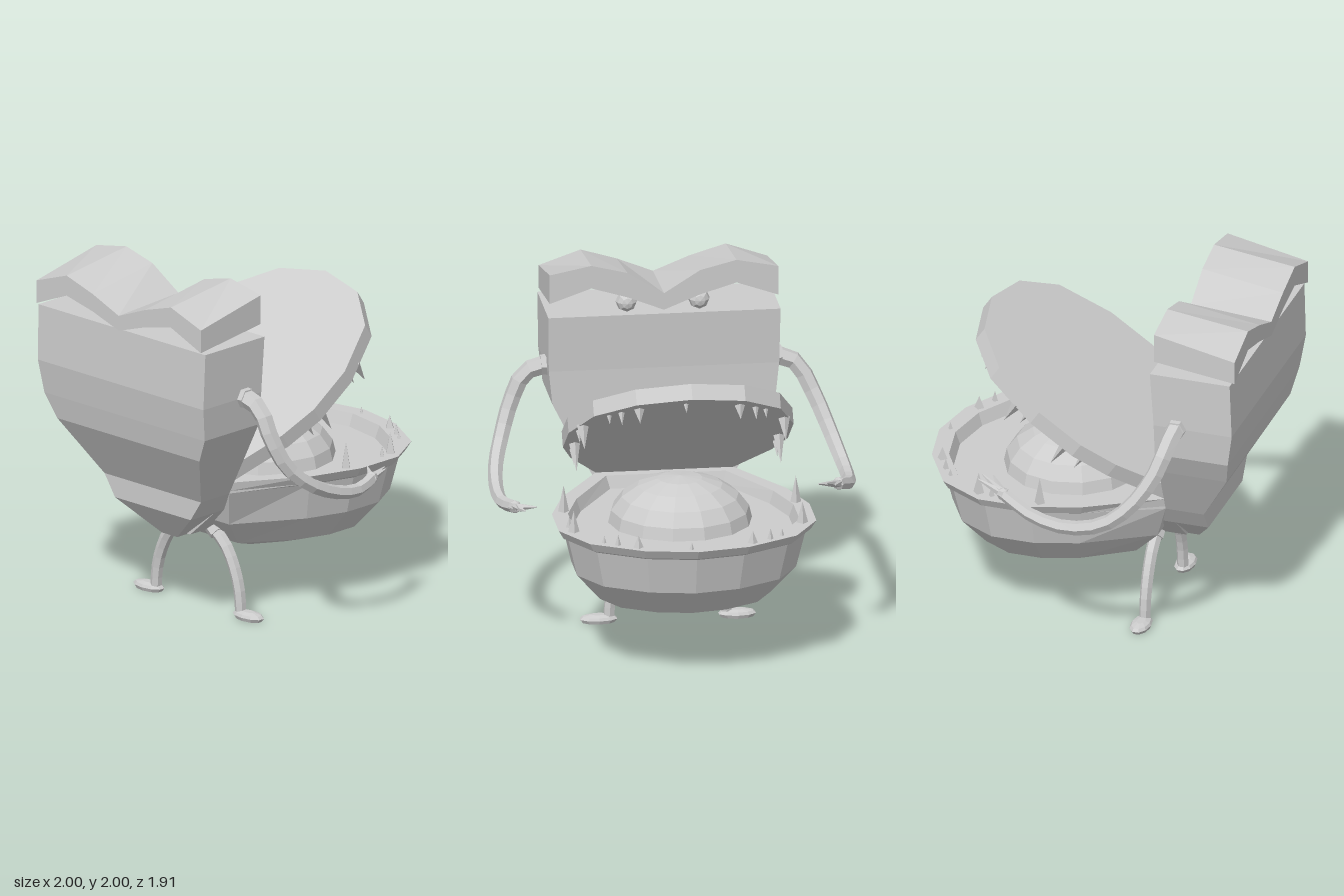
import * as THREE from 'three';

const grey = new THREE.MeshStandardMaterial({ color: 0xcccccc, flatShading: true });
grey.name = 'grey';
const V = (p) => new THREE.Vector3(...p);

function add(parent, geometry, name) {
  const mesh = new THREE.Mesh(geometry, grey);
  mesh.name = name;
  parent.add(mesh);
  return mesh;
}

// Skin closed rings of [x, y, z] points and cap both ends
function loft(rings) {
  const n = rings[0].length, last = (rings.length - 1) * n, index = [];
  for (let i = 0; i < rings.length - 1; i++) {
    for (let j = 0; j < n; j++) {
      const a = i * n + j, b = i * n + (j + 1) % n;
      index.push(a, b, b + n, a, b + n, a + n);
    }
  }
  for (let j = 1; j < n - 1; j++) {
    index.push(0, j + 1, j, last, last + j, last + j + 1);
  }
  const g = new THREE.BufferGeometry();
  g.setAttribute('position', new THREE.Float32BufferAttribute(rings.flat(2), 3));
  g.setIndex(index);
  g.computeVertexNormals();
  return g;
}

// Mirror a back-to-front half outline of [x, z] into a full ring at height y
function mirrorRing(half, y) {
  const right = [...half].reverse().map(([x, z]) => [x, y, z]);
  const left = half.slice(1).map(([x, z]) => [-x, y, z]);
  return [...right, ...left];
}

// Tube whose radius changes evenly from r0 to r1
function limb(points, r0, r1, sides = 6, steps = 10) {
  const curve = new THREE.CatmullRomCurve3(points.map(V));
  const g = new THREE.TubeGeometry(curve, steps, 1, sides);
  const p = g.attributes.position, v = new THREE.Vector3();
  for (let i = 0; i < p.count; i++) {
    const t = Math.floor(i / (sides + 1)) / steps, c = curve.getPointAt(t);
    v.fromBufferAttribute(p, i).sub(c).multiplyScalar(r0 + (r1 - r0) * t).add(c);
    p.setXYZ(i, v.x, v.y, v.z);
  }
  g.computeVertexNormals();
  return g;
}

// Cone or stub running from one point to another
function spike(parent, from, to, r0, r1, sides, name) {
  const a = V(from), b = V(to), dir = b.clone().sub(a);
  const mesh = add(parent, new THREE.CylinderGeometry(r1, r0, dir.length(), sides), name);
  mesh.position.copy(a).add(b).multiplyScalar(0.5);
  mesh.quaternion.setFromUnitVectors(new THREE.Vector3(0, 1, 0), dir.normalize());
}

// Tooth layout: x, z, height, radius
const TEETH = [
  [0.64, -0.165, 0.16, 0.032], [0.645, -0.44, 0.07, 0.02], [0.63, -0.52, 0.13, 0.034],
  [0.49, -0.73, 0.05, 0.016], [0.42, -0.78, 0.07, 0.02], [0.315, -0.835, 0.08, 0.032],
];

export function createModel() {
  const model = new THREE.Group();
  model.name = 'toiletMonster';

  // Tank: tapering rectangular sections [y, half width, front z, back z]
  const tank = [
    [0.45, 0.06, 0.56, 0.36], [0.63, 0.29, 0.69, 0.42], [0.75, 0.37, 0.69, 0.47],
    [1.07, 0.545, 0.88, 0.49], [1.21, 0.615, 0.91, 0.49], [1.4, 0.635, 0.94, 0.49],
    [1.715, 0.64, 0.93, 0.47],
  ].map(([y, w, f, b]) => [[-w, y, f], [w, y, f], [w, y, b], [-w, y, b]]);
  add(model, loft(tank), 'tank');

  // Tank cover bent into a brow: [x, bottom back, top back, top front, bottom front]
  const brow = [
    [0.63, 1.79, 1.955, 1.86, 1.73], [0.4, 1.87, 2.0, 1.94, 1.825],
    [0.2, 1.81, 1.95, 1.88, 1.78], [0, 1.73, 1.825, 1.8, 1.715],
  ];
  const section = (s, [x, bb, tb, tf, bf]) =>
    [[s * x, bb, 0.49], [s * x, tb, 0.49], [s * x, tf, 0.955], [s * x, bf, 0.955]];
  add(model, loft([
    ...brow.map((b) => section(-1, b)),
    ...brow.slice(0, 3).reverse().map((b) => section(1, b)),
  ]), 'browCover');

  // Bowl with rim and inner floor: [scale, y, front half width, front z]
  const outline = [[0, -0.75], [0.29, -0.695], [0.57, -0.535], [0.71, -0.29], [0.71, 0], [0.62, 0.28]];
  const bowl = [
    [0.02, 0.285, 0.005, -0.2], [0.35, 0.305, 0.12, 0.05], [0.66, 0.38, 0.22, 0.25],
    [0.85, 0.54, 0.3, 0.4], [0.92, 0.75, 0.37, 0.47], [0.96, 0.765, 0.37, 0.47],
    [1, 0.815, 0.38, 0.47], [0.875, 0.815, 0.33, 0.41], [0.84, 0.745, 0.31, 0.39],
  ].map(([s, y, w, z]) => mirrorRing(
    [...outline.map(([x, d]) => [x * s, d * s - 0.21]), [w, z]], y));
  add(model, loft(bowl), 'bowl');

  // Neck between tank and bowl
  const neck = [[0.46, 0.1, 0.5, 0.25], [0.63, 0.29, 0.5, 0.25], [0.75, 0.37, 0.5, 0.4]]
    .map(([y, w, f, b]) => [[-w, y, f], [w, y, f], [w, y, b], [-w, y, b]]);
  add(model, loft(neck), 'neck');

  // Rounded mound in the bowl
  const mound = add(model, new THREE.SphereGeometry(1, 14, 5, 0, Math.PI * 2, 0, Math.PI / 2), 'mound');
  mound.scale.set(0.4, 0.27, 0.39);
  mound.position.set(0, 0.73, -0.18);

  // Open lid, built flat from its hinge
  const lid = new THREE.Group();
  lid.name = 'lid';
  lid.position.set(0, 0.815, 0.47);
  lid.rotation.x = 0.594;
  model.add(lid);
  const lidHalf = [[0, -1.42], [0.3, -1.35], [0.515, -1.16], [0.62, -0.84], [0.62, -0.55], [0.555, -0.33], [0.38, 0]];
  add(lid, loft([mirrorRing(lidHalf, 0), mirrorRing(lidHalf, 0.09)]), 'lidPlate');

  // Teeth on the rim and under the lid
  const tooth = (x, z, h, r) => {
    spike(model, [x, 0.805, z], [x, 0.805 + h, z], r, 0, 4, 'lowerTooth');
    const lx = x * 0.88, lz = (z - 0.47) * 0.97;
    spike(lid, [lx, 0.01, lz], [lx, -h, lz], r, 0, 4, 'upperTooth');
  };
  for (const s of [-1, 1]) {
    for (const [x, z, h, r] of TEETH) tooth(s * x, z, h, r);
    spike(lid, [s * 0.56, 0.01, -0.5], [s * 0.56, -0.09, -0.5], 0.02, 0, 4, 'upperTooth');
  }
  tooth(0.03, -0.905, 0.05, 0.016);

  for (const s of [-1, 1]) {
    // Eyes under the brow
    const eye = add(model, new THREE.SphereGeometry(0.06, 8, 6), 'eye');
    eye.rotation.x = Math.PI / 2;
    eye.position.set(s * 0.2, 1.77, 0.55);

    // Legs with hip collars and flat oval feet
    add(model, limb([[0.12, 0.46, 0.335], [0.21, 0.385, 0.335], [0.28, 0.26, 0.335],
      [0.315, 0.14, 0.335], [0.325, 0.02, 0.335]].map(([x, y, z]) => [s * x, y, z]), 0.036, 0.032, 6, 8), 'leg');
    spike(model, [s * 0.1, 0.475, 0.335], [s * 0.145, 0.44, 0.335], 0.045, 0.045, 6, 'hipCollar');
    const foot = add(model, loft([[0, 0.85], [0.02, 1], [0.035, 0.85], [0.045, 0.4]].map(([y, k]) =>
      Array.from({ length: 10 }, (_, i) => {
        const a = i * Math.PI / 5;
        return [0.107 * k * Math.sin(a), y, 0.057 * k * Math.cos(a)];
      }))), 'foot');
    foot.position.set(s * 0.382, 0, 0.333);

    // Shoulder collars
    spike(model, [s * 0.62, 1.4, 0.62], [s * 0.665, 1.4, 0.62], 0.06, 0.055, 6, 'shoulderCollar');
  }

  // Arms with three-fingered hands
  const arms = [
    {
      name: 'leftArm',
      path: [[0.64, 1.4, 0.62], [0.75, 1.36, 0.62], [0.83, 1.2, 0.61], [0.89, 1.03, 0.54],
        [0.94, 0.91, 0.4], [0.96, 0.835, 0.22], [0.95, 0.81, 0.05], [0.9, 0.83, -0.1]],
      tips: [[0.79, 0.85, -0.18], [0.86, 0.85, -0.24], [0.9, 0.855, -0.21]],
    },
    {
      name: 'rightArm',
      path: [[-0.64, 1.4, 0.62], [-0.74, 1.36, 0.61], [-0.83, 1.2, 0.56], [-0.9, 1.03, 0.45],
        [-0.945, 0.91, 0.3], [-0.96, 0.865, 0.1], [-0.94, 0.89, -0.1], [-0.86, 0.955, -0.3]],
      tips: [[-0.82, 1.0, -0.46], [-0.775, 1.01, -0.45], [-0.735, 0.99, -0.4]],
    },
  ];
  for (const { name, path, tips } of arms) {
    const arm = new THREE.Group();
    arm.name = name;
    model.add(arm);
    add(arm, limb(path, 0.052, 0.034, 6, 14), 'armTube');
    const wrist = path[path.length - 1];
    const palm = add(arm, new THREE.SphereGeometry(0.037, 6, 4), 'palm');
    palm.position.set(...wrist);
    for (const tip of tips) spike(arm, wrist, tip, 0.026, 0.004, 5, 'finger');
  }

  return model;
}
